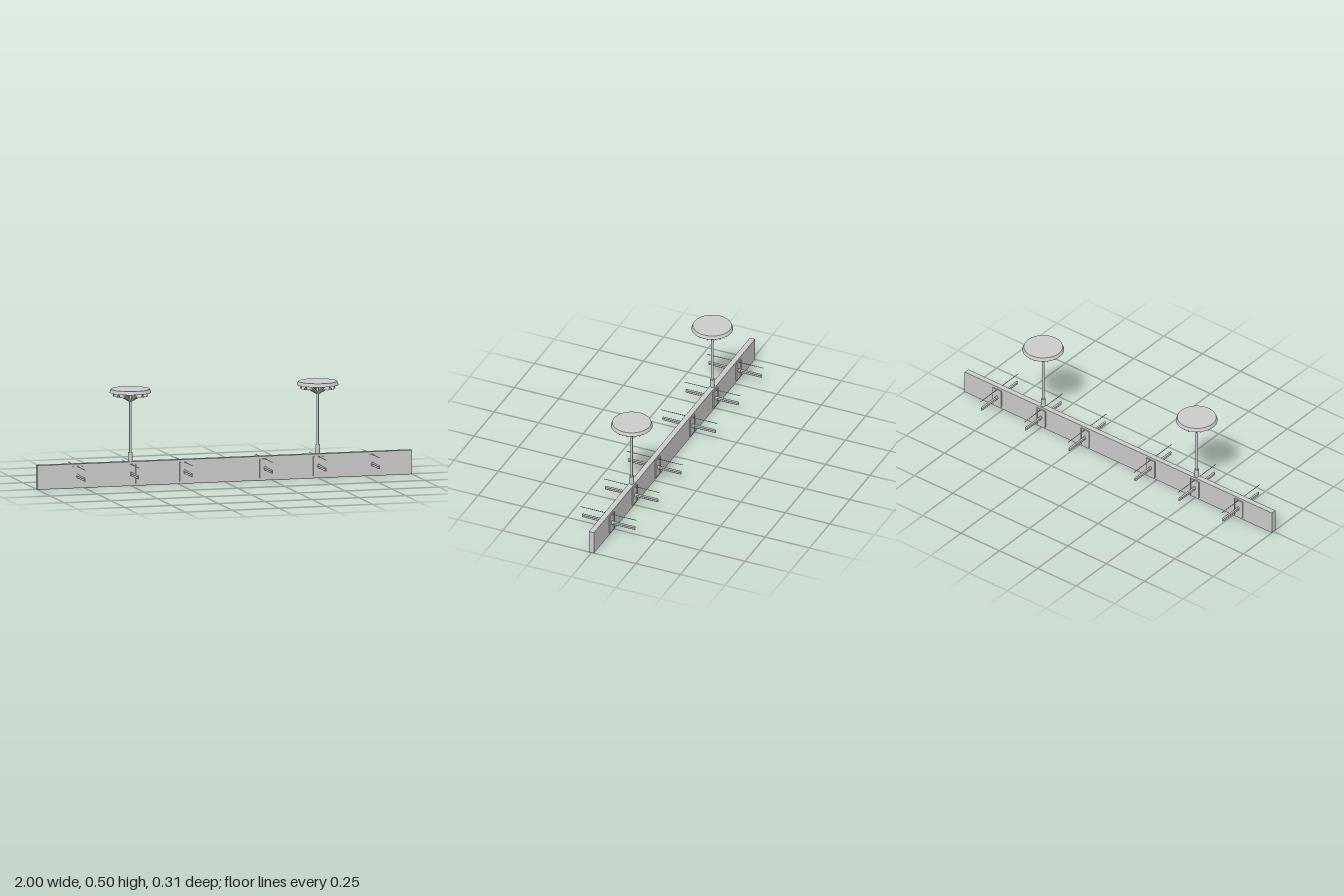
import * as THREE from 'three';

const grey = new THREE.MeshStandardMaterial({ color: 0xcccccc });
const flat = new THREE.MeshStandardMaterial({ color: 0xcccccc, flatShading: true, side: THREE.DoubleSide });

function add(parent, name, geometry, x = 0, y = 0, z = 0, material = grey) {
  const mesh = new THREE.Mesh(geometry, material);
  mesh.name = name;
  mesh.position.set(x, y, z);
  parent.add(mesh);
  return mesh;
}

// Folded rib: an inverted V that widens from the post towards the rim
function ribGeometry() {
  // radius, ridge height, edge height, half width
  const sections = [
    [0.005, 0.442, 0.432, 0.002],
    [0.052, 0.474, 0.46, 0.008],
    [0.094, 0.483, 0.482, 0.015],
    [0.089, 0.483, 0.462, 0.014],
  ];
  const rows = [sections[0], sections[1], sections[3]];
  const positions = [];
  const index = [];
  for (const [r, ridge, edge, w] of rows) positions.push(r, edge, -w, r, ridge, 0, r, edge, w);
  for (let i = 0; i < rows.length - 1; i++) {
    for (let j = 0; j < 2; j++) {
      const a = i * 3 + j, b = a + 3;
      index.push(a, a + 1, b, b, a + 1, b + 1);
    }
  }
  const g = new THREE.BufferGeometry();
  g.setAttribute('position', new THREE.Float32BufferAttribute(positions, 3));
  g.setIndex(index);
  g.computeVertexNormals();
  return g;
}

function createLamp() {
  const lamp = new THREE.Group();
  lamp.name = 'lamp';
  add(lamp, 'postFoot', new THREE.CylinderGeometry(0.008, 0.008, 0.006, 20), 0, 0.126, 0);
  add(lamp, 'postSleeve', new THREE.CylinderGeometry(0.011, 0.011, 0.044, 20), 0, 0.15, 0);
  add(lamp, 'post', new THREE.CylinderGeometry(0.006, 0.006, 0.358, 20), 0, 0.304, 0);
  add(lamp, 'ribCollar', new THREE.CylinderGeometry(0.008, 0.007, 0.01, 20), 0, 0.437, 0);
  add(lamp, 'lampDisc', new THREE.CylinderGeometry(0.1, 0.107, 0.018, 48), 0, 0.491, 0);
  const rib = ribGeometry();
  const count = 12;
  for (let i = 0; i < count; i++) {
    add(lamp, 'rib', rib, 0, 0, 0, flat).rotation.y = (i / count) * Math.PI * 2;
  }
  return lamp;
}

// Plate, twin pegs and collar on one face of the beam
function createBracket() {
  const bracket = new THREE.Group();
  bracket.name = 'bracket';
  add(bracket, 'plate', new THREE.BoxGeometry(0.054, 0.1, 0.005), 0, 0.062, 0.0165);
  for (const s of [-1, 1]) {
    add(bracket, 'plateFlange', new THREE.BoxGeometry(0.005, 0.1, 0.007), s * 0.0255, 0.062, 0.0175);
  }
  const collar = add(bracket, 'pegCollar', new THREE.CylinderGeometry(0.006, 0.006, 0.012, 16), 0, 0.062, 0.024);
  collar.rotation.x = Math.PI / 2;
  collar.scale.z = 1.9;
  for (const s of [-1, 1]) {
    const peg = add(bracket, 'peg', new THREE.CapsuleGeometry(0.005, 0.122, 4, 12), 0, 0.062 + s * 0.005, 0.084);
    peg.rotation.x = Math.PI / 2;
  }
  return bracket;
}

export function createModel() {
  const model = new THREE.Group();
  model.name = 'lampBeam';

  add(model, 'beam', new THREE.BoxGeometry(2, 0.125, 0.029), 0, 0.0625, 0);

  // Brackets on both faces, with a thin rod through the beam above the pegs
  for (const x of [-0.786, -0.5, -0.214, 0.214, 0.5, 0.786]) {
    for (const turn of [0, Math.PI]) {
      const bracket = createBracket();
      bracket.position.x = x;
      bracket.rotation.y = turn;
      model.add(bracket);
    }
    add(model, 'thinRod', new THREE.CylinderGeometry(0.0017, 0.0017, 0.314, 8), x, 0.112, 0).rotation.x = Math.PI / 2;
  }

  for (const x of [-0.5, 0.5]) {
    const lamp = createLamp();
    lamp.position.x = x;
    model.add(lamp);
  }
  return model;
}
